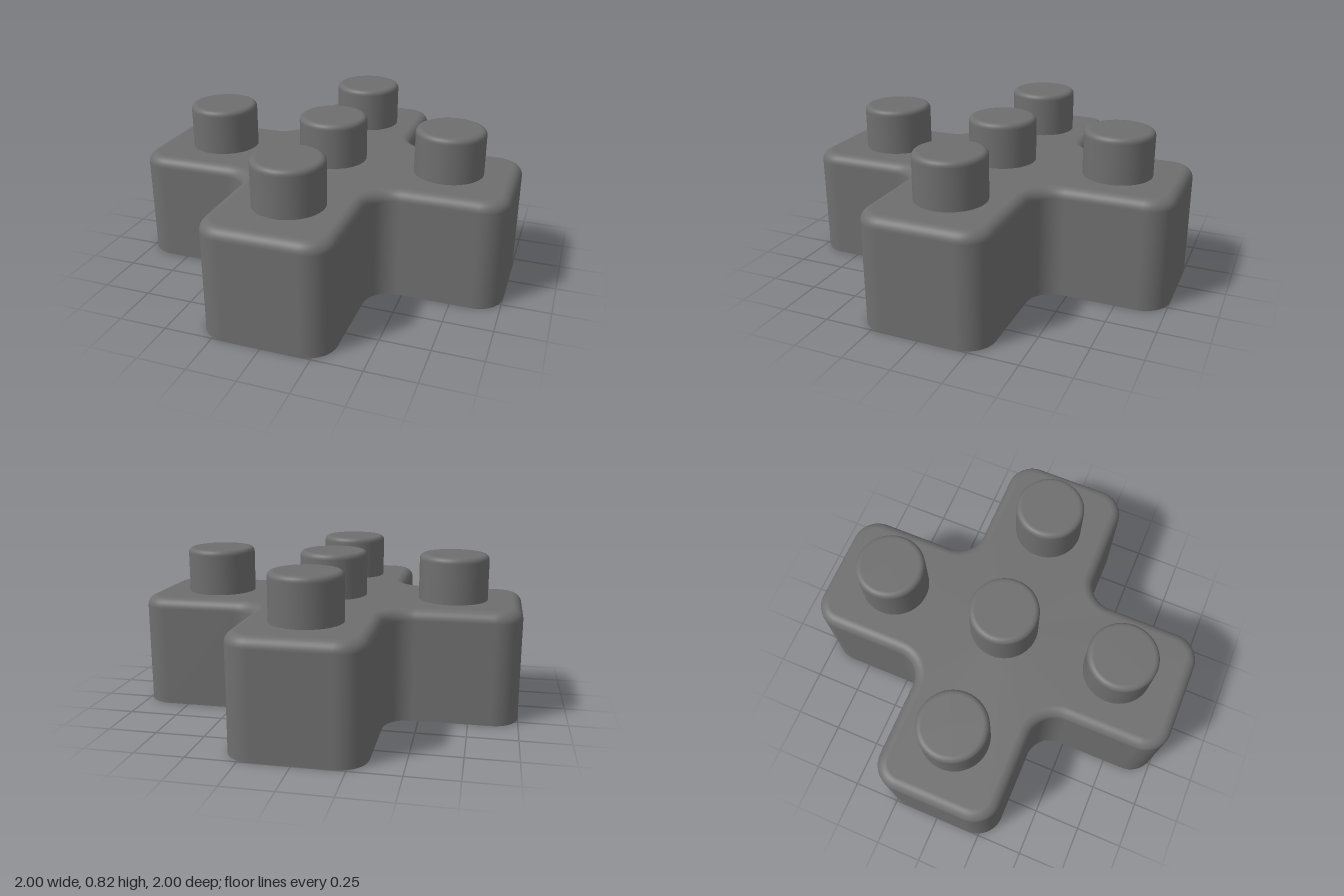
import * as THREE from 'three';

const HALF = 1, ARM = 0.333, CORNER = 0.14, TOP = 0.582, BEVEL = 0.055;
const material = new THREE.MeshStandardMaterial({ color: 0x6e6e6e });

// Plus-shaped outline as points with outward normals, one quadrant turned four times
function crossOutline(steps = 10) {
  const arcs = [
    [HALF - CORNER, ARM - CORNER, 0, 1],
    [ARM + CORNER, ARM + CORNER, 1.5 * Math.PI, -1], // inner corner
    [ARM - CORNER, HALF - CORNER, 0, 1],
  ];
  const outline = [];
  for (let q = 0; q < 4; q++) {
    for (const [cx, cz, start, sign] of arcs) {
      for (let i = 0; i <= steps; i++) {
        const a = start + sign * (i / steps) * Math.PI / 2;
        const p = new THREE.Vector2(cx + CORNER * Math.cos(a), cz + CORNER * Math.sin(a));
        const n = new THREE.Vector2(Math.cos(a), Math.sin(a)).multiplyScalar(sign);
        for (let k = 0; k < q; k++) for (const v of [p, n]) v.set(-v.y, v.x);
        outline.push({ p, n });
      }
    }
  }
  return outline;
}

// Straight walls, rounded top edge, flat top and bottom
function bodyGeometry() {
  const outline = crossOutline(), count = outline.length;
  const positions = [], normals = [], index = [];

  // Each ring: height, inset and tilt of the normal
  const rings = [[0, 0, 0]];
  const bevelSteps = 8;
  for (let i = 0; i <= bevelSteps; i++) {
    const t = (i / bevelSteps) * Math.PI / 2;
    rings.push([TOP - BEVEL + BEVEL * Math.sin(t), BEVEL * (1 - Math.cos(t)), t]);
  }
  const addRing = (y, inset, nxz, ny) => {
    for (const { p, n } of outline) {
      positions.push(p.x - n.x * inset, y, p.y - n.y * inset);
      normals.push(n.x * nxz, ny, n.y * nxz);
    }
  };
  for (const [y, inset, t] of rings) addRing(y, inset, Math.cos(t), Math.sin(t));
  for (let r = 0; r < rings.length - 1; r++) {
    for (let j = 0; j < count; j++) {
      const k = (j + 1) % count;
      const a = r * count + j, b = r * count + k, c = a + count, d = b + count;
      index.push(a, c, b, b, c, d);
    }
  }

  // Caps fan out from the centre
  const addCap = (y, inset, ny) => {
    const base = positions.length / 3;
    addRing(y, inset, 0, ny);
    positions.push(0, y, 0);
    normals.push(0, ny, 0);
    for (let j = 0; j < count; j++) {
      const a = base + j, b = base + (j + 1) % count;
      index.push(base + count, ny > 0 ? b : a, ny > 0 ? a : b);
    }
  };
  addCap(TOP, BEVEL, 1);
  addCap(0, 0, -1);

  const geometry = new THREE.BufferGeometry();
  geometry.setAttribute('position', new THREE.Float32BufferAttribute(positions, 3));
  geometry.setAttribute('normal', new THREE.Float32BufferAttribute(normals, 3));
  geometry.setIndex(index);
  return geometry;
}

// Round stud with a softened rim
function studGeometry() {
  const radius = 0.181, top = 0.822, rim = 0.027;
  const profile = [new THREE.Vector2(radius, TOP - 0.01), new THREE.Vector2(radius, top - rim - 0.003)];
  for (let i = 0; i <= 6; i++) {
    const t = (i / 6) * Math.PI / 2;
    profile.push(new THREE.Vector2(radius - rim + rim * Math.cos(t), top - rim + rim * Math.sin(t)));
  }
  profile.push(new THREE.Vector2(radius - rim - 0.003, top), new THREE.Vector2(0, top));
  return new THREE.LatheGeometry(profile, 48);
}

export function createModel() {
  const group = new THREE.Group();
  group.name = 'crossBlock';

  const body = new THREE.Mesh(bodyGeometry(), material);
  body.name = 'body';
  group.add(body);

  // One stud in the middle and one on each arm
  const stud = studGeometry();
  const spots = {
    centreStud: [0.007, -0.01],
    leftStud: [0.643, -0.01],
    rightStud: [-0.639, -0.01],
    frontStud: [0.007, 0.63],
    backStud: [0.007, -0.65],
  };
  for (const [name, [x, z]] of Object.entries(spots)) {
    const mesh = new THREE.Mesh(stud, material);
    mesh.name = name;
    mesh.position.set(x, 0, z);
    group.add(mesh);
  }
  return group;
}
